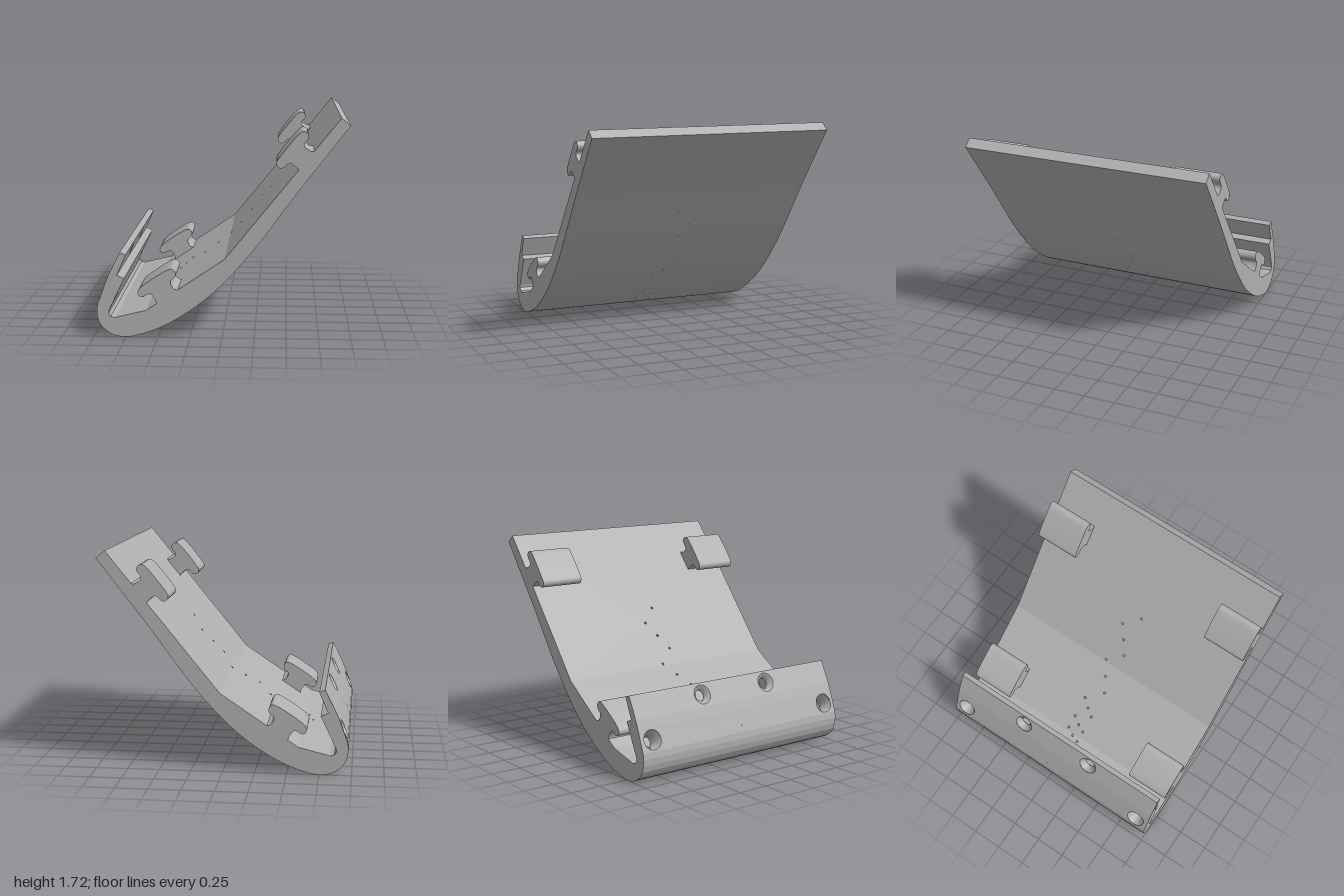
import * as THREE from 'three';
import { mergeGeometries, toCreasedNormals } from 'three/addons/utils/BufferGeometryUtils.js';

const V = (x, y) => new THREE.Vector2(x, y);
const pts = (list) => list.map(([x, y]) => V(x, y));

// centripetal curve through a few points, resampled
function smooth(list, n) {
  const curve = new THREE.CatmullRomCurve3(list.map(([x, y]) => new THREE.Vector3(x, y, 0)), false, 'centripetal');
  return curve.getSpacedPoints(n).map((p) => V(p.x, p.y));
}

// shell cross-section, counter-clockwise from the lip tip
const lipOuter = pts([[-0.79, 0.672], [-0.875, 0.502], [-0.905, 0.43]]);
const belly = smooth([
  [-0.968, 0.26], [-0.975, 0.19], [-0.95, 0.1], [-0.9, 0.045], [-0.83, 0.01], [-0.755, 0], [-0.68, 0.01],
  [-0.6, 0.033], [-0.5, 0.07], [-0.4, 0.12], [-0.3, 0.18], [-0.2, 0.25], [-0.1, 0.33], [0, 0.425],
  [0.1, 0.53], [0.2, 0.645], [0.3, 0.77], [0.45, 0.975], [0.6, 1.18],
], 44);
const inside = pts([
  [0.972, 1.66], [0.902, 1.717], [0.02, 0.625], [-0.588, 0.215], [-0.836, 0.154], [-0.867, 0.162],
  [-0.883, 0.188], [-0.877, 0.216], [-0.758, 0.466], [-0.815, 0.49], [-0.745, 0.652],
]);
const outline = [...lipOuter, ...belly, ...inside];

// each outline edge becomes a flat panel that can carry round holes
const panels = outline.map((p, i) => {
  const q = outline[(i + 1) % outline.length];
  const d = q.clone().sub(p);
  const length = d.length();
  return { p, d: d.normalize(), length, holes: [] };
});

// nearest panel hit from a point along a direction
function hit(o, dir) {
  let best = null;
  for (const panel of panels) {
    const w = panel.p.clone().sub(o);
    const det = dir.cross(panel.d);
    if (Math.abs(det) < 1e-6) continue;
    const t = w.cross(panel.d) / det;
    const s = w.cross(dir) / det;
    if (t > 0 && s >= 0 && s <= panel.length && (!best || t < best.t)) best = { panel, t, s };
  }
  return best;
}

// drill through the wall: opens both panels and returns the bore wall
function drill(o, dir, z, rIn, rOut, sides) {
  const open = (h, r) => {
    const s = Math.min(Math.max(h.s, r + 0.002), h.panel.length - r - 0.002);
    h.panel.holes.push({ s, z, r, sides });
    return h.panel.p.clone().addScaledVector(h.panel.d, s);
  };
  const a = open(hit(o, dir.clone().negate()), rIn);
  const b = open(hit(o, dir), rOut);
  const axis = b.clone().sub(a);
  const len = axis.length();
  const bore = new THREE.LatheGeometry([V(rIn, 0), V(rIn, len * 0.5), V(rOut, len)], sides);
  bore.rotateZ(Math.atan2(axis.y, axis.x) - Math.PI / 2);
  bore.translate(a.x, a.y, z);
  return bore;
}

function panelGeometry({ p, d, length, holes }) {
  const shape = new THREE.Shape(pts([[0, -1], [length, -1], [length, 1], [0, 1]]));
  for (const h of holes) {
    const ring = [];
    for (let i = 0; i < h.sides; i++) {
      const a = (i / h.sides) * Math.PI * 2;
      ring.push(V(h.s + h.r * Math.cos(a), h.z + h.r * Math.sin(a)));
    }
    shape.holes.push(new THREE.Path(ring));
  }
  const basis = new THREE.Matrix4().makeBasis(
    new THREE.Vector3(d.x, d.y, 0), new THREE.Vector3(0, 0, 1), new THREE.Vector3(d.y, -d.x, 0));
  basis.setPosition(p.x, p.y, 0);
  return new THREE.ShapeGeometry(shape).applyMatrix4(basis);
}

// T-shaped hook profiles, left root to right root
const lowerHook = [
  [-0.523, 0.25], [-0.508, 0.268], [-0.513, 0.289], [-0.544, 0.336], [-0.56, 0.345], [-0.58, 0.34],
  [-0.612, 0.32], [-0.638, 0.325], [-0.654, 0.35], [-0.643, 0.383], [-0.409, 0.542], [-0.383, 0.544],
  [-0.362, 0.523], [-0.357, 0.497], [-0.372, 0.471], [-0.393, 0.456], [-0.398, 0.43], [-0.372, 0.388],
  [-0.342, 0.378],
];
const upperHook = [
  [0.576, 1.31], [0.581, 1.326], [0.565, 1.341], [0.534, 1.367], [0.513, 1.375], [0.492, 1.362],
  [0.471, 1.341], [0.445, 1.333], [0.419, 1.352], [0.414, 1.378], [0.424, 1.398], [0.591, 1.602],
  [0.617, 1.615], [0.648, 1.604], [0.659, 1.576], [0.648, 1.55], [0.628, 1.529], [0.625, 1.503],
  [0.648, 1.482], [0.68, 1.464], [0.702, 1.468],
];

function hookGeometry(profile) {
  const shape = new THREE.Shape(smooth(profile, 90));
  const geo = new THREE.ExtrudeGeometry(shape, { depth: 0.368, bevelEnabled: false });
  return toCreasedNormals(geo, 0.6);
}

export function createModel() {
  const model = new THREE.Group();
  const grey = new THREE.MeshStandardMaterial({ color: 0xb0b0b0, side: THREE.DoubleSide });
  grey.name = 'grey';
  const add = (name, geometry, z = 0) => {
    const mesh = new THREE.Mesh(geometry, grey);
    mesh.name = name;
    mesh.position.z = z;
    model.add(mesh);
  };

  // countersunk screw holes through the lip
  const lipNormal = V(-0.9, 0.434).normalize();
  for (const side of [-1, 1]) {
    add('lowerScrewHole', drill(V(-0.89, 0.321), lipNormal, side * 0.89, 0.045, 0.078, 28));
    add('upperScrewHole', drill(V(-0.81, 0.576), lipNormal, side * 0.33, 0.045, 0.078, 28));
  }

  // rows of small pressure ports along the inner floor
  const rows = [
    [-0.067, [-0.66, -0.56, -0.46, -0.3, 0.03, 0.285]],
    [0, [-0.74, -0.595, -0.505, -0.355, -0.08, 0.2]],
    [0.065, [-0.625, -0.535, -0.4, -0.19, 0.115, 0.37]],
  ];
  const floor = inside.slice(1, 5);
  const ports = [drill(V(-0.92, 0.3), lipNormal, -0.02, 0.01, 0.004, 10)];
  for (const [z, xs] of rows) {
    for (const x of xs) {
      const i = floor.findIndex((p, k) => k < 3 && x <= p.x && x > floor[k + 1].x);
      const d = floor[i + 1].clone().sub(floor[i]).normalize();
      const start = floor[i].clone().addScaledVector(d, (x - floor[i].x) / d.x);
      const down = V(-d.y, d.x);
      ports.push(drill(start.addScaledVector(down, 0.02), down, z, 0.01, 0.004, 10));
    }
  }
  add('pressurePorts', mergeGeometries(ports));

  // curved shell skin and its two flat ends
  add('shellSkin', mergeGeometries(panels.map(panelGeometry)));
  const cap = new THREE.ShapeGeometry(new THREE.Shape(outline));
  add('frontEnd', cap, 1);
  add('backEnd', cap.clone().scale(1, 1, -1).rotateX(0), -1);
  const back = model.children[model.children.length - 1].geometry;
  back.index.array.reverse();
  for (let i = 0; i < back.attributes.normal.count; i++) back.attributes.normal.setXYZ(i, 0, 0, -1);

  // mounting hooks at both ends
  for (const [name, profile] of [['lowerHook', lowerHook], ['upperHook', upperHook]]) {
    const geo = hookGeometry(profile);
    add(name + 'Front', geo, 0.632);
    add(name + 'Back', geo, -1);
  }

  // holes were recorded for this build only
  panels.forEach((panel) => { panel.holes.length = 0; });
  return model;
}
